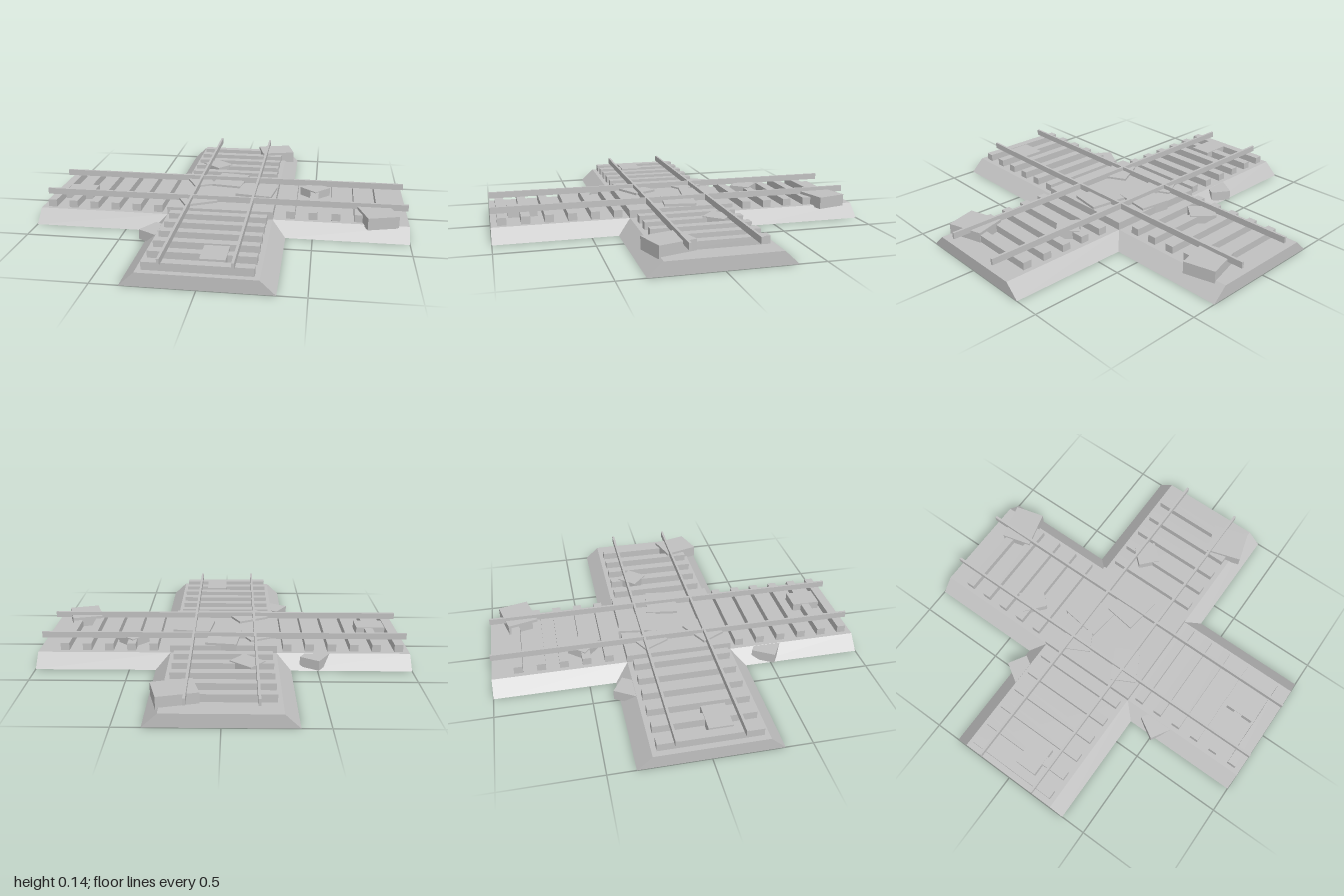
import * as THREE from 'three';

export function createModel() {
  const model = new THREE.Group();
  const grey = new THREE.MeshStandardMaterial({ color: 0xc0c0c0 });
  grey.name = 'plain grey';

  function add(name, geometry, parent = model) {
    const mesh = new THREE.Mesh(geometry, grey);
    mesh.name = name;
    parent.add(mesh);
    return mesh;
  }
  function box(name, w, h, d, x, bottom, z, parent, turn = 0) {
    const mesh = add(name, new THREE.BoxGeometry(w, h, d), parent);
    mesh.position.set(x, bottom + h / 2, z);
    mesh.rotation.y = turn;
    return mesh;
  }
  function group(name) {
    const g = new THREE.Group();
    g.name = name;
    model.add(g);
    return g;
  }

  // Cross-shaped ballast bed: vertical arm ends, sloping shoulders
  const bedTop = 0.07;
  const cross = (w) => [
    [w, 1], [w, w], [1, w], [1, -w], [w, -w], [w, -1],
    [-w, -1], [-w, -w], [-1, -w], [-1, w], [-w, w], [-w, 1],
  ];
  const lower = cross(0.36), upper = cross(0.285);
  const points = [];
  const low = (i) => [lower[i][0], 0, lower[i][1]];
  const high = (i) => [upper[i][0], bedTop, upper[i][1]];
  for (let i = 0; i < 12; i++) {
    const j = (i + 1) % 12;
    points.push(...low(i), ...low(j), ...high(j), ...low(i), ...high(j), ...high(i));
  }
  const outline = lower.map(([x, z]) => new THREE.Vector2(x, z));
  for (const [a, b, c] of THREE.ShapeUtils.triangulateShape(outline, [])) {
    // order the corners so that the top faces up and the base faces down
    const turn = (outline[b].x - outline[a].x) * (outline[c].y - outline[a].y)
      - (outline[b].y - outline[a].y) * (outline[c].x - outline[a].x);
    const [p, q] = turn > 0 ? [b, c] : [c, b];
    points.push(...low(a), ...low(p), ...low(q), ...high(a), ...high(q), ...high(p));
  }
  const bed = new THREE.BufferGeometry();
  bed.setAttribute('position', new THREE.Float32BufferAttribute(points, 3));
  bed.computeVertexNormals();
  add('ballastBed', bed);

  // Raised square where the tracks cross
  box('crossingPlate', 0.573, 0.042, 0.573, 0, bedTop, 0);

  // Two tracks: evenly spaced sleepers outside the crossing, and a pair of rails
  const trackX = group('trackAlongX'), trackZ = group('trackAlongZ');
  for (let i = 0; i < 16; i++) {
    const x = -0.944 + i * 0.1202, z = -x;
    if (Math.abs(x) < 0.285) continue;
    box('sleeper', 0.047, 0.04, 0.52, x, bedTop, 0, trackX);
    box('sleeper', 0.52, 0.04, 0.047, 0, bedTop, z, trackZ);
  }
  for (const side of [-0.172, 0.165]) {
    box('rail', 2, 0.034, 0.013, 0, 0.111, side, trackX);
    box('rail', 0.013, 0.034, 2, side, 0.111, 0, trackZ);
  }

  // Loose stones: x, z, width, depth, turn, bottom, top
  const stones = group('stones');
  for (const [x, z, w, d, turn, bottom, top] of [
    [0.22, -0.84, 0.205, 0.167, 0.25, 0.06, 0.125],
    [-0.125, -0.5, 0.14, 0.115, -0.71, 0.06, 0.116],
    [-0.487, -0.31, 0.113, 0.125, -0.55, 0.015, 0.069],
    [-0.305, 0.485, 0.115, 0.128, -0.54, 0.015, 0.069],
    [-0.835, 0.06, 0.16, 0.123, 0, 0.06, 0.114],
    [0.06, 0.83, 0.123, 0.155, 0, 0.06, 0.114],
    [0.5, -0.13, 0.12, 0.12, -0.74, 0.06, 0.116],
    [0.835, 0.22, 0.17, 0.2, 0.29, 0.06, 0.125],
    [-0.17, -0.14, 0.125, 0.15, 0.48, 0.06, 0.122],
    [0, -0.18, 0.17, 0.215, -0.14, 0.06, 0.124],
    [0.17, -0.01, 0.205, 0.175, -0.14, 0.06, 0.126],
    [-0.14, 0.165, 0.185, 0.14, 0.48, 0.06, 0.124],
  ]) box('stone', w, top - bottom, d, x, bottom, z, stones, turn);

  return model;
}
